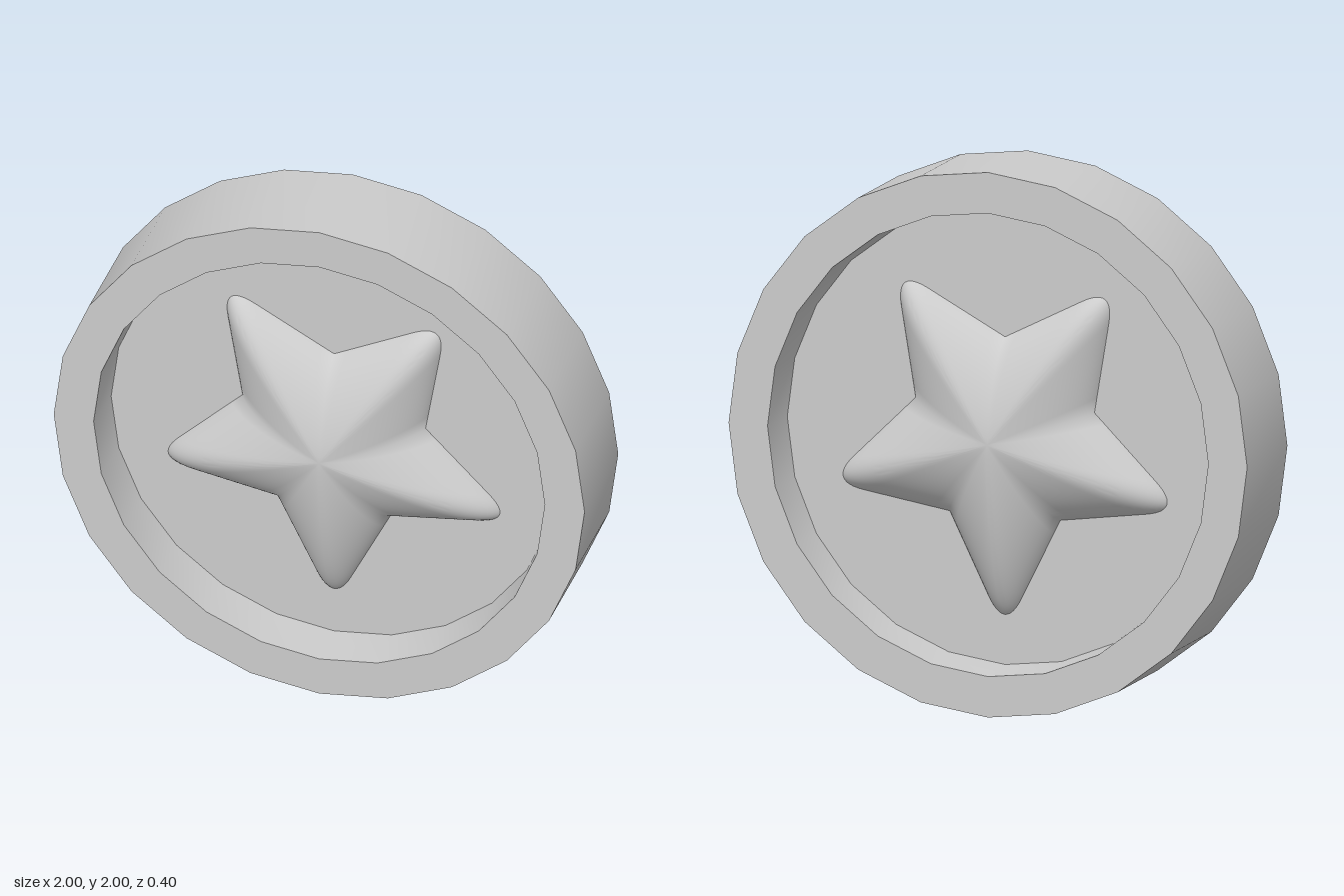
import * as THREE from 'three';
import { toCreasedNormals } from 'three/addons/utils/BufferGeometryUtils.js';

const material = new THREE.MeshStandardMaterial({ color: 0xcccccc });

// 24-sided disc with a raised rim and a recessed floor on both faces
function createDisc() {
  const front = 0.197, back = -0.191, floor = 0.025;
  const profile = [
    [0, -floor], [0.84, -floor], [0.85, back], [1, back],
    [1, front], [0.85, front], [0.84, floor], [0, floor],
  ].map(([r, h]) => new THREE.Vector2(r, h));
  const geometry = new THREE.LatheGeometry(profile, 24).rotateX(Math.PI / 2);
  const disc = new THREE.Mesh(toCreasedNormals(geometry, 0.6), material);
  disc.name = 'rimmedDisc';
  return disc;
}

// Five-pointed outline with rounded tips, one tip pointing down
function starOutline() {
  const polar = (r, a) => new THREE.Vector2(r * Math.cos(a), r * Math.sin(a));
  const points = [];
  for (let k = 0; k < 5; k++) {
    const angle = -Math.PI / 2 + (k * 2 * Math.PI) / 5;
    const tip = polar(0.735, angle);
    const notchA = polar(0.37, angle - Math.PI / 5);
    const notchB = polar(0.37, angle + Math.PI / 5);
    const startA = notchA.clone().lerp(tip, 0.7);
    const startB = notchB.clone().lerp(tip, 0.7);
    for (let i = 0; i < 6; i++) points.push(notchA.clone().lerp(startA, i / 6));
    const round = new THREE.QuadraticBezierCurve(startA, tip, startB);
    points.push(...round.getPoints(12));
    for (let i = 1; i < 6; i++) points.push(startB.clone().lerp(notchB, i / 6));
  }
  return points;
}

// Puffed star: the outline shrinks towards a peak on the front and the back
function createStar() {
  const outline = starOutline();
  const n = outline.length, rings = 48, peak = 0.2;
  const positions = [], indices = [];
  for (let i = 0; i <= rings; i++) {
    const a = (i / rings - 0.5) * Math.PI;
    const t = i === 0 || i === rings ? 0 : Math.cos(a);
    const z = Math.sign(a) * peak * Math.pow(Math.max(0, 1 - Math.pow(t, 1.55)), 0.6);
    for (const p of outline) positions.push(p.x * t, p.y * t, z);
  }
  for (let i = 0; i < rings; i++) {
    for (let j = 0; j < n; j++) {
      const k = (j + 1) % n;
      const a = i * n + j, b = i * n + k, c = a + n, d = b + n;
      if (i > 0) indices.push(a, b, d);
      if (i < rings - 1) indices.push(a, d, c);
    }
  }
  const geometry = new THREE.BufferGeometry();
  geometry.setAttribute('position', new THREE.Float32BufferAttribute(positions, 3));
  geometry.setIndex(indices);
  const star = new THREE.Mesh(toCreasedNormals(geometry, 1), material);
  star.name = 'star';
  return star;
}

export function createModel() {
  const model = new THREE.Group();
  model.name = 'starCoin';
  const disc = createDisc();
  const star = createStar();
  disc.position.y = star.position.y = 1;
  model.add(disc, star);
  return model;
}
